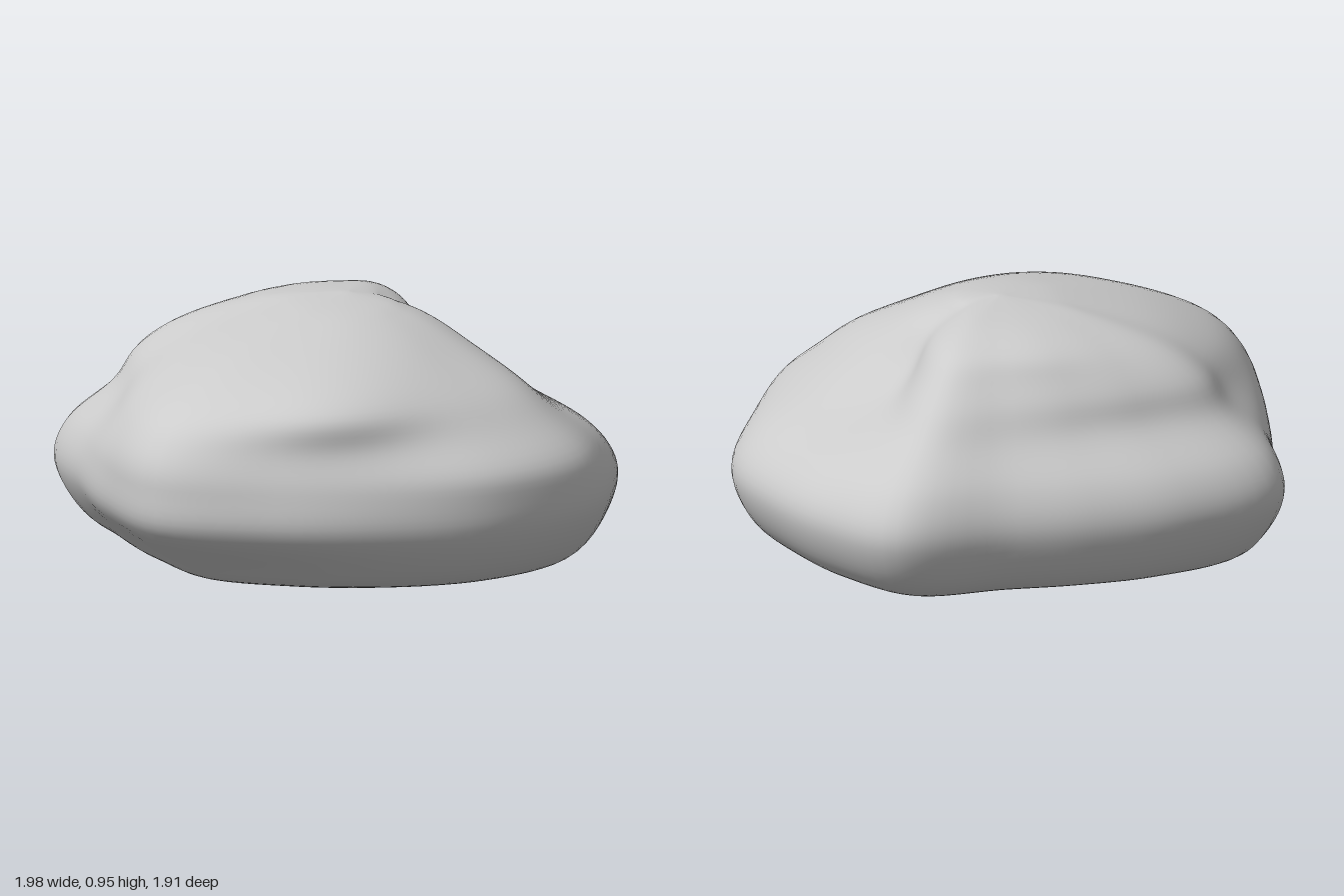
import * as THREE from 'three';
import { mergeVertices } from 'three/addons/utils/BufferGeometryUtils.js';

const AXIS_X = 0.1, AXIS_Z = -0.1;
const AROUND = 96, RISE = 64;

// Widest outline: radius every 22.5 degrees from +x through +z, -x and -z
const OUTLINE = [.90, .95, .97, 1.05, 1.05, 1.03, 1.07, 1.14, 1.01, .96, 1.05, .92, .83, .83, 1.0, .93];

// Taper from base to summit: [share of the outline, height]
const TAPER = [
  [0, .005], [.42, .02], [.72, .055], [.9, .125], [1, .3], [.97, .46],
  [.87, .6], [.75, .73], [.54, .85], [.28, .93], [0, .96],
];

// Lumps (+) and hollows (-) pressed into the taper; angles in degrees
const DENTS = [
  { depth: -.31, angle: 8, spread: 33, y: .73, tall: .16 },   // side hollow
  { depth: -.07, angle: -14, spread: 15, y: .68, tall: .10 }, // hollow's deepest corner
  { depth: .16, angle: 124, spread: 18, y: .76, tall: .10 },  // front corner lump
  { depth: .10, angle: 163, spread: 22, y: .62, tall: .12 },  // side rim
  { depth: -.10, angle: 158, spread: 28, y: .13, tall: .08 }, // undercut below the rim
  { depth: .05, angle: 85, spread: 25, y: .52, tall: .08 },   // front bulge
  { depth: -.08, angle: 72, spread: 22, y: .85, tall: .08 },  // front slope
  { depth: -.09, angle: 250, spread: 35, y: .62, tall: .09 }, // back slope
  { depth: .11, angle: 281, spread: 30, y: .90, tall: .06 },  // back shoulder
  { depth: -.05, angle: 180, spread: 40, y: .92, tall: .05 }, // summit slope
];

const bell = (d, width) => Math.exp(-((d / width) ** 2) / 2);

// Sum of all dents at an angle and height
function relief(degrees, y) {
  return DENTS.reduce((sum, d) => {
    const turn = THREE.MathUtils.euclideanModulo(degrees - d.angle + 180, 360) - 180;
    return sum + d.depth * bell(turn, d.spread) * bell(y - d.y, d.tall);
  }, 0);
}

// Sweep the taper round the outline, pressing in the dents
function stoneGeometry() {
  const outline = new THREE.CatmullRomCurve3(OUTLINE.map((r, k) => {
    const a = (k / OUTLINE.length) * Math.PI * 2;
    return new THREE.Vector3(r * Math.cos(a), 0, r * Math.sin(a));
  }), true);
  const taper = new THREE.SplineCurve(TAPER.map(([s, y]) => new THREE.Vector2(s, y)));
  const positions = [], index = [];
  for (let j = 0; j < AROUND; j++) {
    const rim = outline.getPoint(j / AROUND);
    const degrees = THREE.MathUtils.radToDeg(Math.atan2(rim.z, rim.x));
    for (let i = 0; i <= RISE; i++) {
      const { x: share, y } = taper.getPoint(i / RISE);
      // Dents fade out at the poles so the ribs meet in one point
      const s = share + relief(degrees, y) * Math.min(1, share / 0.3);
      positions.push(AXIS_X + rim.x * s, y, AXIS_Z + rim.z * s);
    }
  }
  const id = (i, j) => (j % AROUND) * (RISE + 1) + i;
  for (let j = 0; j < AROUND; j++) {
    for (let i = 0; i < RISE; i++) {
      const a = id(i, j), b = id(i, j + 1), c = id(i + 1, j), d = id(i + 1, j + 1);
      // One triangle per rib at each pole, two elsewhere
      if (i > 0) index.push(a, c, b);
      if (i < RISE - 1) index.push(b, c, d);
    }
  }
  const geometry = new THREE.BufferGeometry();
  geometry.setAttribute('position', new THREE.Float32BufferAttribute(positions, 3));
  geometry.setIndex(index);
  const welded = mergeVertices(geometry, 1e-5);
  welded.computeVertexNormals();
  return welded;
}

export function createModel() {
  const group = new THREE.Group();
  group.name = 'boulder';
  const stone = new THREE.Mesh(
    stoneGeometry(), new THREE.MeshStandardMaterial({ color: 0xcccccc }));
  stone.name = 'stone';
  group.add(stone);
  return group;
}
